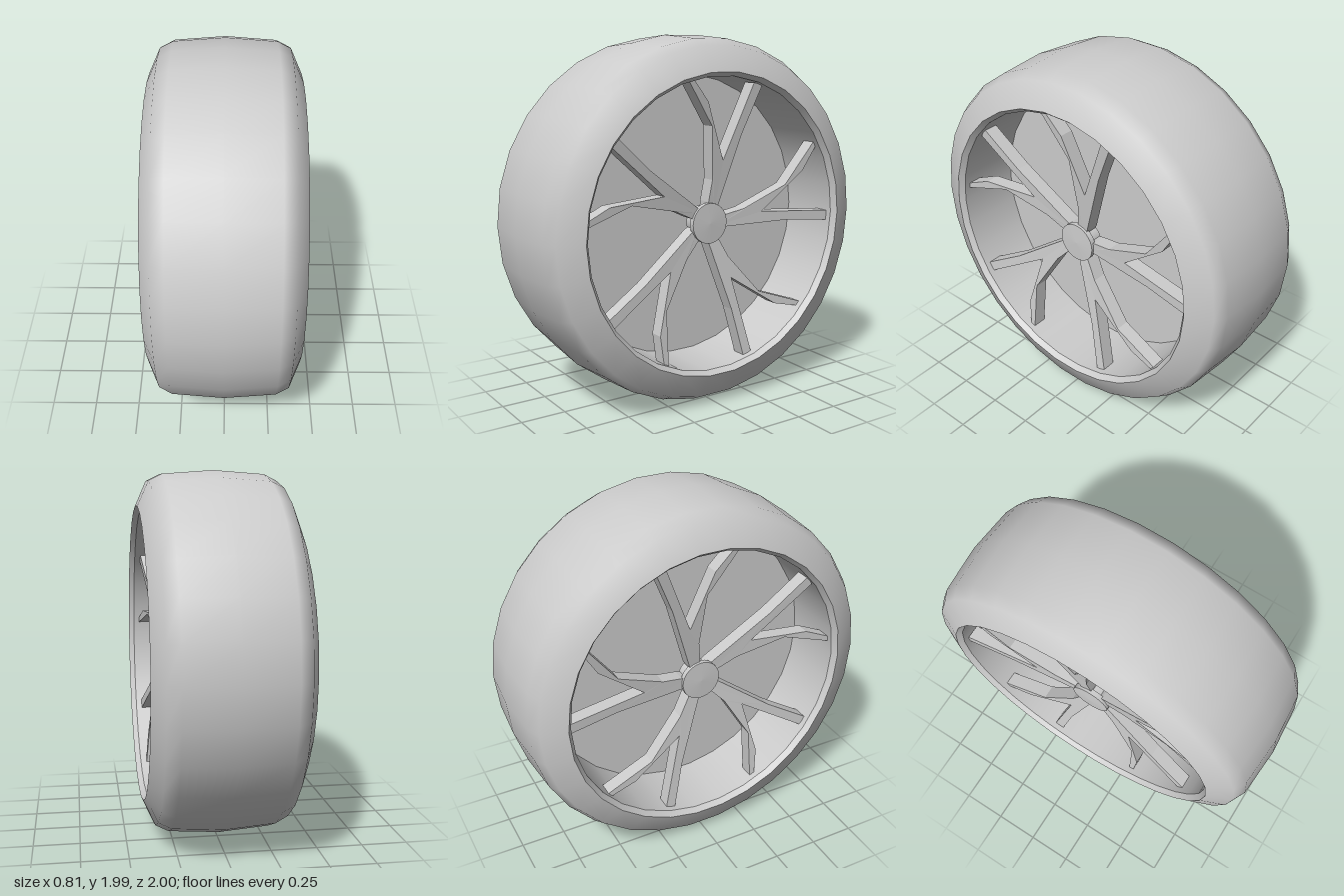
import * as THREE from 'three';

const SEGMENTS = 30;
const CENTER_Y = 0.9945;

// Revolves [x, radius] points around the x axis
function revolve(points) {
  const geo = new THREE.LatheGeometry(points.map(([x, r]) => new THREE.Vector2(r, x)), SEGMENTS);
  return geo.rotateZ(-Math.PI / 2);
}

// Forked spoke outline: straight arm on one side, bent arm on the other
const SPOKE = [
  [0, 0.06], [0, 0.115], [0.015, 0.235], [-0.012, 0.525], [-0.181, 0.768], [-0.152, 0.776],
  [-0.047, 0.655], [0.075, 0.337], [0.24, 0.745], [0.295, 0.732], [0.185, 0.475], [0.062, 0.09], [0.04, 0.05],
];

// side is +1 or -1; the two faces of the wheel mirror each other
function spokeGeometry(side) {
  const shape = new THREE.Shape(SPOKE.map(([u, v]) => new THREE.Vector2(u * side, v)));
  const geo = new THREE.ExtrudeGeometry(shape, { depth: 0.08, bevelEnabled: false });
  // Dish the spokes outward towards the rim
  const p = geo.attributes.position;
  for (let i = 0; i < p.count; i++) {
    p.setZ(i, p.getZ(i) + 0.175 + 0.11 * Math.hypot(p.getX(i), p.getY(i)));
  }
  geo.computeVertexNormals();
  return geo.rotateY(side * Math.PI / 2);
}

export function createModel() {
  const gray = new THREE.MeshStandardMaterial({ color: 0xcccccc });
  gray.name = 'lightGray';
  const wheel = new THREE.Group();
  wheel.name = 'wheel';
  wheel.position.y = CENTER_Y;

  const add = (name, geo, parent = wheel) => {
    const mesh = new THREE.Mesh(geo, gray);
    mesh.name = name;
    parent.add(mesh);
    return mesh;
  };

  // Tyre with rounded shoulders
  add('tyre', revolve([
    [-0.405, 0.81], [-0.345, 0.945], [-0.275, 0.98], [0, 1],
    [0.275, 0.98], [0.345, 0.945], [0.405, 0.81],
  ]));

  // Rim barrel and the plate that closes it in the middle
  add('rimBarrel', revolve([[0.375, 0.787], [-0.375, 0.787]]));
  add('centerPlate', revolve([[-0.01, 0], [-0.01, 0.787]]));
  add('centerPlate', revolve([[0.01, 0.787], [0.01, 0]]));

  for (const side of [1, -1]) {
    const face = new THREE.Group();
    face.name = side > 0 ? 'leftFace' : 'rightFace';
    wheel.add(face);

    // Bevelled lip between tyre and barrel
    const lip = [[0.405 * side, 0.81], [0.375 * side, 0.787]];
    add('rimLip', revolve(side > 0 ? lip : lip.reverse()), face);

    // Hub with a shallow cap
    const hub = new THREE.CylinderGeometry(0.11, 0.11, 0.03, SEGMENTS);
    hub.rotateZ(-Math.PI / 2).translate(0.267 * side, 0, 0);
    add('hub', hub, face);
    const cap = [[0.282 * side, 0.11], [0.287 * side, 0]];
    add('hubCap', revolve(side > 0 ? cap : cap.reverse()), face);
    const core = new THREE.CylinderGeometry(0.085, 0.085, 0.08, SEGMENTS);
    add('hubCore', core.rotateZ(-Math.PI / 2).translate(0.22 * side, 0, 0), face);

    // Five forked spokes
    const geo = spokeGeometry(side);
    for (let i = 0; i < 5; i++) {
      add('spoke', geo, face).rotation.x = (i * Math.PI * 2) / 5;
    }
  }

  const model = new THREE.Group();
  model.name = 'model';
  model.add(wheel);
  return model;
}
